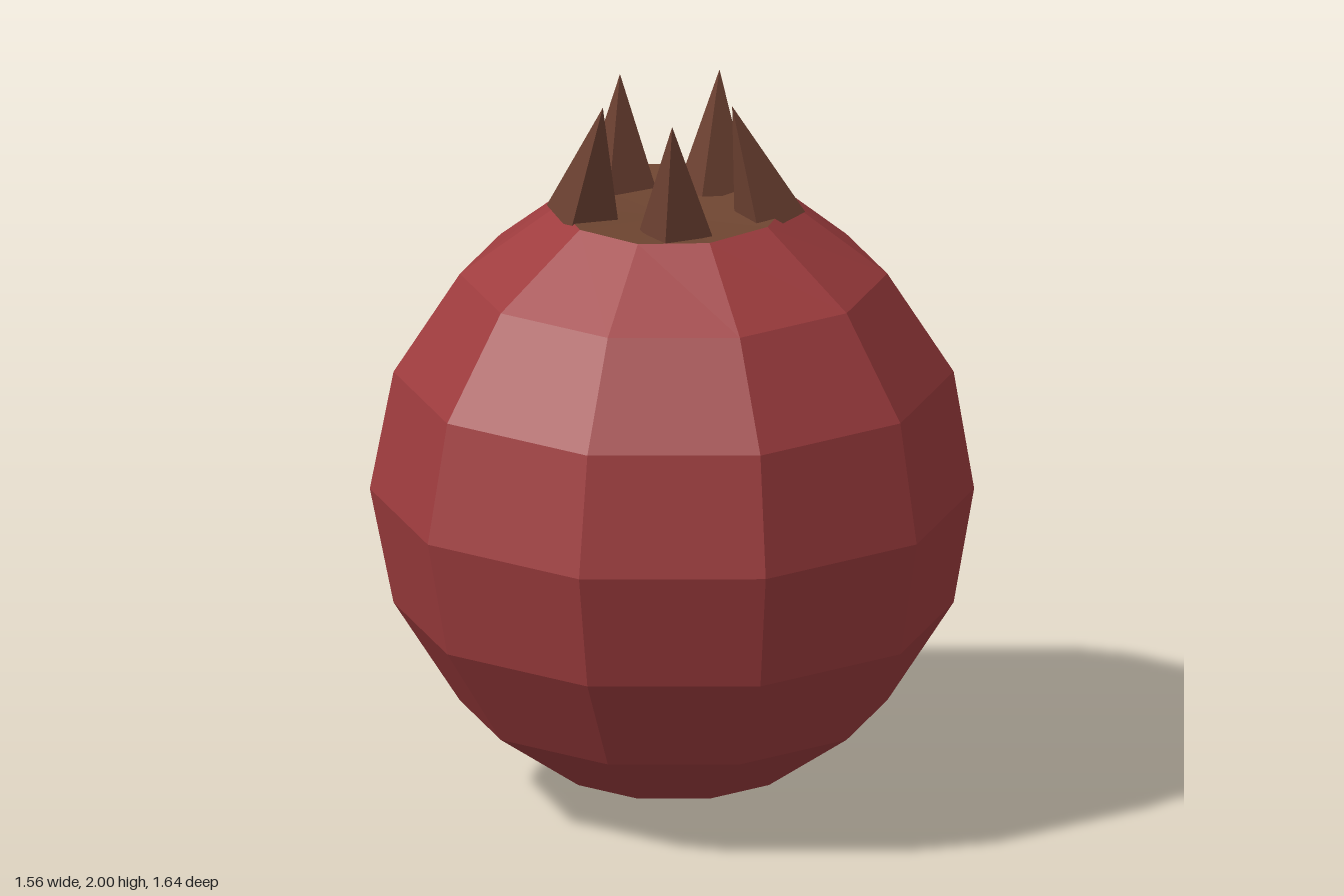
import * as THREE from 'three';

const flat = (color) => new THREE.MeshStandardMaterial({ color, flatShading: true });

// Ten-sided surface of revolution, leaning slightly to the back
function turned(name, profile, material) {
  const geometry = new THREE.LatheGeometry(profile.map(([r, y]) => new THREE.Vector2(r, y)), 10);
  const p = geometry.attributes.position;
  for (let i = 0; i < p.count; i++) {
    const x = p.getX(i), y = p.getY(i), z = p.getZ(i);
    if (y > 1.67) p.setY(i, y - 0.05 * z); // rim a little higher at the back
    if (Math.hypot(x, z) > 0.01) p.setZ(i, z - (y > 0.8 && y < 1 ? 0.006 : 0.02));
  }
  const mesh = new THREE.Mesh(geometry, material);
  mesh.name = name;
  return mesh;
}

export function createModel() {
  const group = new THREE.Group();
  group.name = 'fruit';
  const skin = flat(0x9e3c3e);
  const husk = flat(0x6e4531);
  const spikeMaterial = flat(0x6b4031);

  // Round faceted body
  group.add(turned('body', [
    [0, 0], [0.32, 0.09], [0.58, 0.27], [0.76, 0.55], [0.82, 0.88],
    [0.76, 1.21], [0.58, 1.49], [0.315, 1.69],
  ], skin));

  // Shallow dish on top
  group.add(turned('crownBase', [[0.315, 1.69], [0, 1.66]], husk));

  // Crown spikes: base x, base z, tip x, tip z
  const crown = new THREE.Group();
  crown.name = 'crown';
  const up = new THREE.Vector3(0, 1, 0);
  for (const [bx, bz, tx, tz] of [
    [-0.195, -0.155, -0.195, -0.15],
    [0.055, -0.205, 0.05, -0.27],
    [0.265, -0.05, 0.18, 0.02],
    [0.07, 0.17, 0.08, 0.24],
    [-0.22, 0.1, -0.15, 0.14],
  ]) {
    const base = new THREE.Vector3(bx, 1.67, bz);
    const axis = new THREE.Vector3(tx, 2, tz).sub(base);
    const height = axis.length();
    const spike = new THREE.Mesh(
      new THREE.ConeGeometry(0.105, height, 4).translate(0, height / 2, 0), spikeMaterial);
    spike.position.copy(base);
    spike.quaternion.setFromUnitVectors(up, axis.normalize());
    spike.name = 'crownSpike';
    crown.add(spike);
  }
  group.add(crown);
  return group;
}
